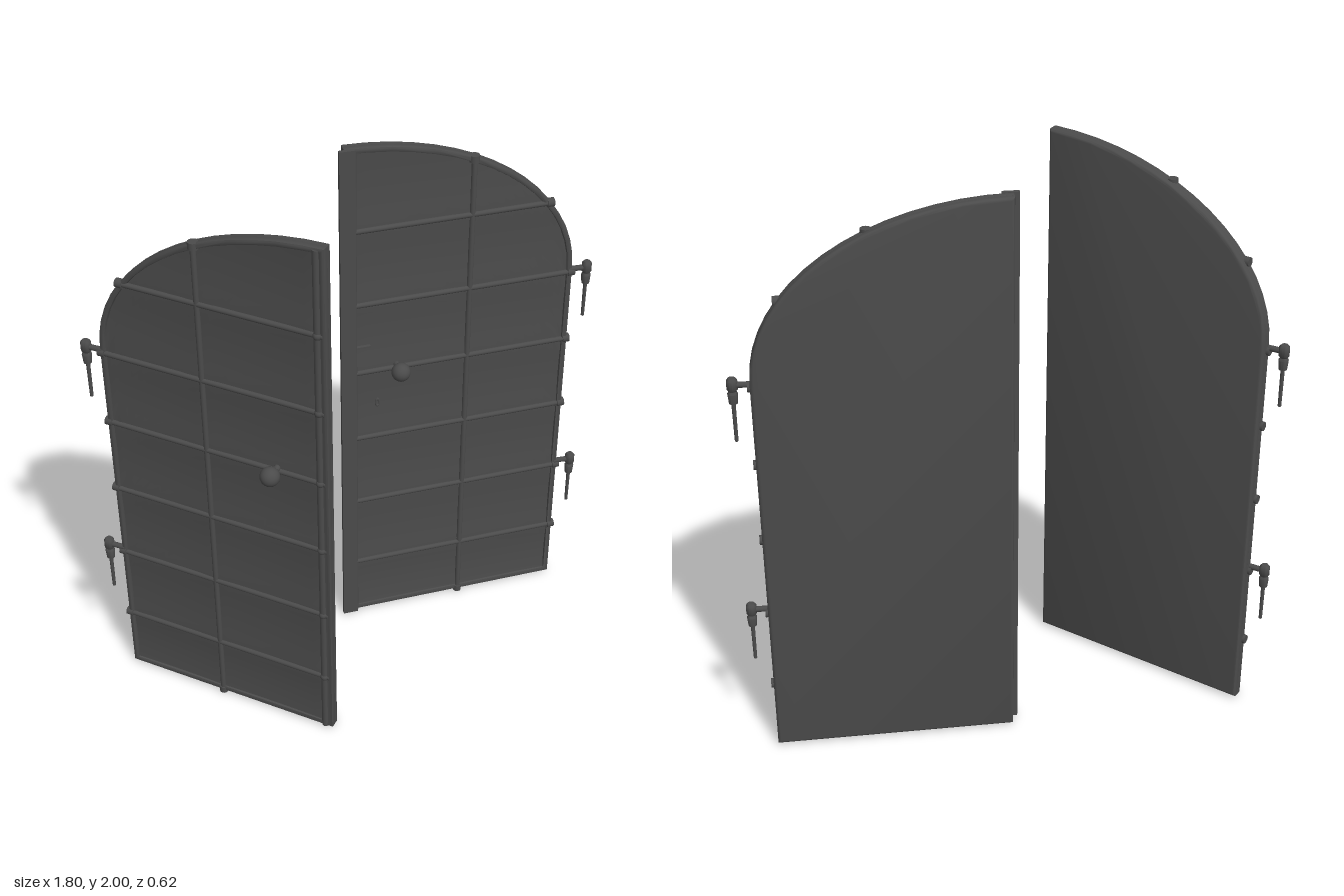
import * as THREE from 'three';
import { mergeVertices, toCreasedNormals } from 'three/addons/utils/BufferGeometryUtils.js';

const W = 0.83, BASE = 0.01, SPRING = 1.42, RISE = 0.58;
const RAILS = [0.25, 0.545, 0.835, 1.12, 1.4, 1.69];
const STILES = [0.38, 0.8];
const metal = new THREE.MeshStandardMaterial({ color: 0x4b4b4b });
metal.name = 'dark iron grey';

// Height of the arch above u, and the hinge-side edge at height y
const archTop = u => SPRING + RISE * Math.sqrt(Math.max(0, 1 - ((W - u) / W) ** 2));
const edgeAt = y => y <= SPRING ? 0 : W - W * Math.sqrt(1 - ((y - SPRING) / RISE) ** 2);

// Half-arch outline, optionally inset from the edge
function outline(inset) {
  const pts = [new THREE.Vector2(inset, BASE + inset), new THREE.Vector2(W - inset, BASE + inset)];
  const n = 16, rx = W - inset, ry = RISE - inset;
  const start = Math.acos(Math.min(1, inset / rx));
  for (let i = 0; i <= n; i++) {
    const a = start + (Math.PI - start) * i / n;
    pts.push(new THREE.Vector2(W + rx * Math.cos(Math.max(a, Math.PI - Math.acos(inset / rx) * (1 - i / n))), SPRING + ry * Math.sin(a)));
  }
  return pts;
}

// Simple quarter arch: from the meeting edge down to the hinge edge
function arch(inset) {
  const pts = [new THREE.Vector2(inset, BASE + inset), new THREE.Vector2(W - inset, BASE + inset)];
  for (let i = 0; i <= 16; i++) {
    const a = Math.PI / 2 * i / 16;
    pts.push(new THREE.Vector2(
      Math.min(W - inset, W - (W - inset) * Math.sin(a)),
      SPRING + (RISE - inset) * Math.cos(a)));
  }
  return pts;
}

// Cylinder between two points
function rod(a, b, r, sides = 12) {
  const A = new THREE.Vector3(...a), B = new THREE.Vector3(...b), d = B.clone().sub(A);
  const g = new THREE.CylinderGeometry(r, r, d.length(), sides);
  g.applyQuaternion(new THREE.Quaternion().setFromUnitVectors(new THREE.Vector3(0, 1, 0), d.normalize()));
  return g.translate(...A.add(B).multiplyScalar(0.5).toArray());
}

// Front skin, gently hollowed within every cell of the grid
function hollowSkin() {
  const g = new THREE.PlaneGeometry(1, 1, 24, 60);
  const p = g.attributes.position;
  const us = [0, ...STILES, W], ys = [BASE, ...RAILS, 2];
  const bowl = (t, marks) => {
    const k = Math.max(0, Math.min(marks.length - 2, marks.findIndex(m => m > t) - 1));
    const f = (t - marks[k]) / (marks[k + 1] - marks[k]);
    return 4 * f * (1 - f);
  };
  for (let i = 0; i < p.count; i++) {
    const u = 0.008 + (p.getX(i) + 0.5) * (W - 0.016);
    const y = BASE + 0.006 + (p.getY(i) + 0.5) * (archTop(u) - BASE - 0.014);
    p.setXYZ(i, u, y, 0.042 - 0.007 * bowl(y, ys) - 0.003 * bowl(u, us));
  }
  g.computeVertexNormals();
  return g;
}

// One leaf, hinge edge at the origin; side = -1 mirrors it
function makeDoor(side) {
  const door = new THREE.Group();
  function add(name, geo) {
    geo = mergeVertices(geo);
    geo.scale(side, 1, 1);
    if (side < 0) {
      const ix = geo.index;
      for (let i = 0; i < ix.count; i += 3) {
        const b = ix.getX(i + 1);
        ix.setX(i + 1, ix.getX(i + 2));
        ix.setX(i + 2, b);
      }
    }
    const m = new THREE.Mesh(geo, metal);
    m.name = name;
    door.add(m);
  }

  // Slab with softened back edges
  const slab = new THREE.ExtrudeGeometry(new THREE.Shape(arch(0)), {
    depth: 0.008, bevelThickness: 0.011, bevelSize: 0.011, bevelOffset: -0.011, bevelSegments: 3 });
  add('panel', toCreasedNormals(slab.translate(0, 0, 0.011), 0.7));
  add('hollowedFront', hollowSkin());

  // Raised rim around the outline
  const ring = new THREE.Shape(arch(0));
  ring.holes.push(new THREE.Path(arch(0.02)));
  const rim = new THREE.ExtrudeGeometry(ring, {
    depth: 0.016, bevelThickness: 0.006, bevelSize: 0.005, bevelOffset: -0.005, bevelSegments: 2 });
  add('rim', toCreasedNormals(rim.translate(0, 0, 0.024), 0.7));

  // Horizontal bars with end nubs at the hinge edge
  for (const y of RAILS) {
    const e = edgeAt(y);
    add('horizontalBar', rod([e + 0.005, y, 0.039], [W - 0.01, y, 0.039], 0.01));
    add('barEnd', rod([e - 0.009, y, 0.037], [e + 0.016, y, 0.037], 0.016));
    if (side > 0) add('barJoint', new THREE.SphereGeometry(0.016, 12, 8).translate(0.8, y, 0.04));
  }
  // Vertical bars with nubs at top and bottom
  for (const u of STILES) {
    const t = archTop(u);
    add('verticalBar', rod([u, BASE, 0.039], [u, t - 0.008, 0.039], u > 0.5 ? 0.013 : 0.01));
    if (u < 0.5) {
      add('barEnd', rod([u, 0, 0.037], [u, 0.025, 0.037], 0.016));
      add('barEnd', rod([u, t - 0.02, 0.037], [u, t + 0.005, 0.037], 0.018));
    }
  }

  // Meeting edge: cover strip on one leaf, keyhole and latch beside it
  if (side < 0) {
    const strip = new THREE.BoxGeometry(0.055, 1.99, 0.014);
    add('coverStrip', strip.translate(0.8225, 1.005, 0.052));
    add('keyhole', new THREE.TorusGeometry(0.007, 0.003, 8, 12).scale(1, 2, 1).translate(0.712, 0.98, 0.039));
    add('latch', new THREE.BoxGeometry(0.05, 0.008, 0.012).translate(0.765, 1.228, 0.042));
  }

  // Knob on its stem
  add('knobStem', rod([0.642, 1.13, 0.03], [0.642, 1.13, 0.08], 0.012));
  add('knob', new THREE.SphereGeometry(0.034, 20, 14).translate(0.642, 1.13, 0.09));

  // Hinge pins hanging from short arms
  for (const y of [1.41, 0.56]) {
    add('hingeArm', rod([0.01, y, 0.038], [-0.055, y, 0.042], 0.01));
    const profile = [[0, -0.205], [0.006, -0.2], [0.007, -0.068], [0.014, -0.064], [0.017, -0.03],
      [0.012, -0.022], [0.018, -0.014], [0.018, 0.016], [0.012, 0.024], [0, 0.025]];
    const pin = new THREE.LatheGeometry(profile.map(p => new THREE.Vector2(...p)), 14);
    add('hingePin', toCreasedNormals(pin, 0.8).translate(-0.055, y, 0.042));
  }
  return door;
}

export function createModel() {
  const model = new THREE.Group();
  model.name = 'archedDoubleDoor';

  // Closed leaf
  const closed = makeDoor(-1);
  closed.name = 'closedDoor';
  closed.position.set(0.83, 0, -0.32);

  // Leaf swung open
  const open = makeDoor(1);
  open.name = 'openDoor';
  open.position.set(-0.815, 0, -0.283);
  open.rotation.y = -0.73;

  model.add(closed, open);
  return model;
}
